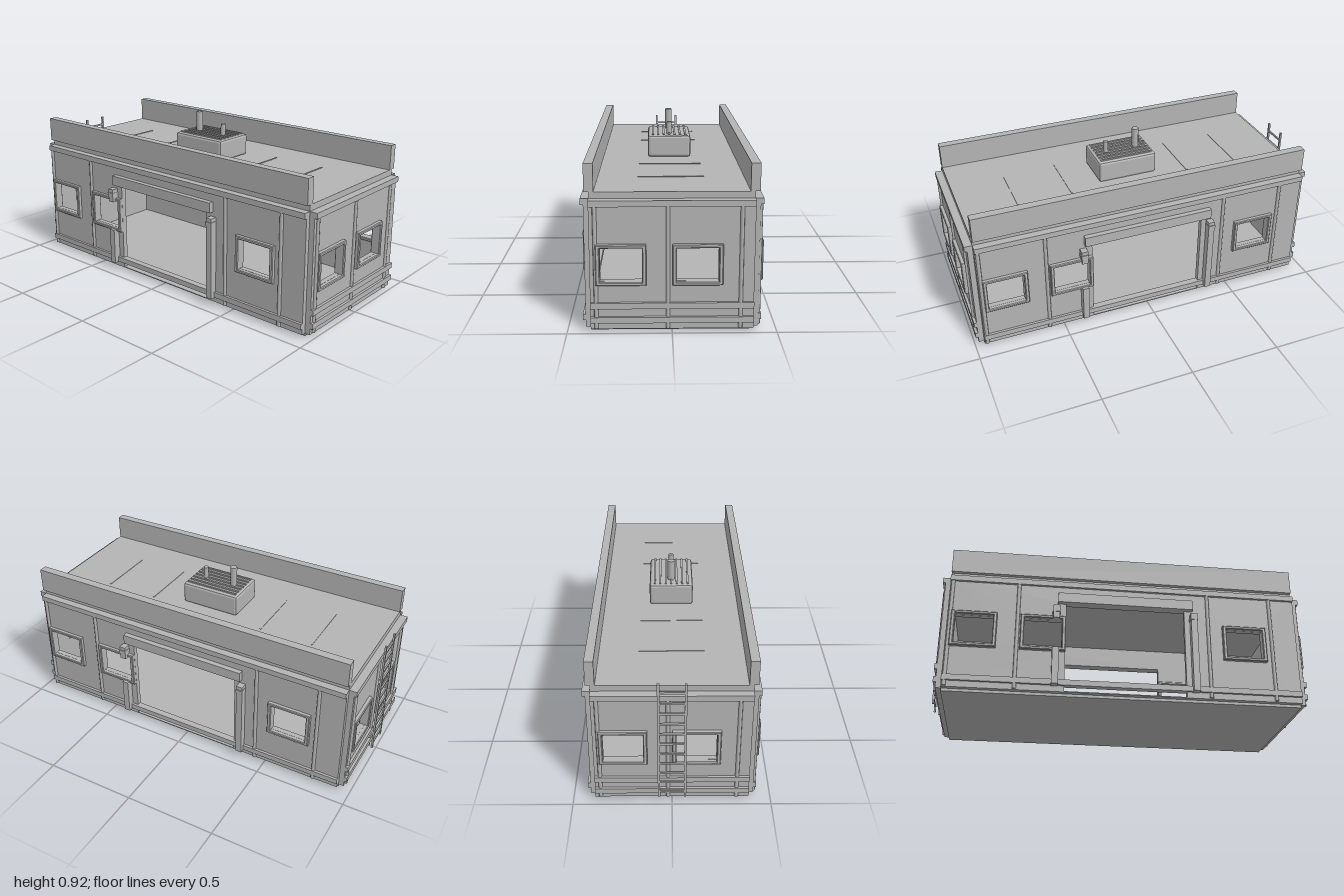
import * as THREE from 'three';
import { RoundedBoxGeometry } from 'three/addons/geometries/RoundedBoxGeometry.js';

export function createModel() {
  const model = new THREE.Group();
  const grey = new THREE.MeshStandardMaterial({ color: 0xb4b4b4 });
  grey.name = 'grey';

  function add(parent, name, geometry, x = 0, y = 0, z = 0) {
    const mesh = new THREE.Mesh(geometry, grey);
    mesh.name = name;
    mesh.position.set(x, y, z);
    parent.add(mesh);
    return mesh;
  }

  // Box given by its limits on each axis
  function box(parent, name, x0, x1, y0, y1, z0, z1) {
    return add(parent, name, new THREE.BoxGeometry(x1 - x0, y1 - y0, z1 - z0),
      (x0 + x1) / 2, (y0 + y1) / 2, (z0 + z1) / 2);
  }

  function rectangle(Type, x0, x1, y0, y1) {
    const r = new Type();
    r.moveTo(x0, y0);
    r.lineTo(x1, y0);
    r.lineTo(x1, y1);
    r.lineTo(x0, y1);
    r.closePath();
    return r;
  }

  // Wall panel with openings, window frames, round ribs and horizontal bands; outward is +z
  function wall(name, half, windows, ribs, bands, door) {
    const side = new THREE.Group();
    side.name = name;
    const panel = rectangle(THREE.Shape, -half, half, 0.015, 0.65);
    for (const u of windows) {
      panel.holes.push(rectangle(THREE.Path, u - 0.1, u + 0.1, 0.257, 0.421));
    }
    if (door) panel.holes.push(rectangle(THREE.Path, -0.32, 0.32, 0.02, 0.52));
    add(side, 'wallPanel', new THREE.ExtrudeGeometry(panel, { depth: 0.028, bevelEnabled: false }));

    for (const u of windows) {
      const frame = rectangle(THREE.Shape, -0.115, 0.115, -0.096, 0.096);
      frame.holes.push(rectangle(THREE.Path, -0.103, 0.103, -0.087, 0.087));
      add(side, 'windowFrame', new THREE.ExtrudeGeometry(frame, {
        depth: 0.045, bevelThickness: 0.004, bevelSize: 0.004, bevelSegments: 1,
      }), u, 0.339, 0);
    }
    for (const u of ribs) {
      add(side, 'wallRib', new THREE.CylinderGeometry(0.01, 0.01, 0.63, 8), u, 0.335, 0.03);
    }
    for (const [y0, y1] of bands) box(side, 'wallBand', -half, half, y0, y1, 0.005, 0.042);
    box(side, 'cornice', -half, half, 0.62, 0.65, 0.005, 0.042);
    model.add(side);
    return side;
  }

  // Lintel and posts of the wide doorway; the left post is broken by the window
  function addDoorway(side) {
    box(side, 'doorLintel', -0.365, 0.365, 0.52, 0.575, 0.02, 0.056);
    box(side, 'rightPost', 0.35, 0.385, 0.045, 0.495, 0.02, 0.066);
    box(side, 'leftPostLower', -0.39, -0.355, 0.045, 0.25, 0.02, 0.066);
    box(side, 'leftPostUpper', -0.39, -0.355, 0.42, 0.495, 0.02, 0.066);
    for (const u of [-0.3725, 0.3675]) {
      box(side, 'postCap', u - 0.02, u + 0.02, 0.455, 0.475, 0.02, 0.07);
    }
  }

  // Long walls and end walls, each pair turned half a turn about the middle
  for (const turn of [0, 1]) {
    const long = wall(turn ? 'backWall' : 'frontWall', 0.94, [-0.8, -0.44, 0.645],
      [-0.925, -0.575, 0.45, 0.8], [[0.048, 0.078]], true);
    addDoorway(long);
    long.position.set(0.01, 0, turn ? -0.385 : 0.385);
    long.rotation.y = turn * Math.PI;

    const end = wall(turn ? 'rightEndWall' : 'leftEndWall', 0.388, [-0.24, 0.12],
      [-0.36, -0.02, 0.325], [[0.048, 0.078], [0.12, 0.15]], false);
    end.position.set(turn ? -0.93 : 0.95, 0, 0);
    end.rotation.y = Math.PI / 2 + turn * Math.PI;
  }

  // Floor, roof and parapets
  box(model, 'floor', -0.93, 0.95, 0, 0.02, -0.387, 0.387);
  box(model, 'roof', -0.93, 0.95, 0.645, 0.682, -0.387, 0.387);
  for (const s of [-1, 1]) {
    const parapet = box(model, 'parapet', -0.93, 0.95, 0.682, 0.816, 0.364, 0.409);
    parapet.position.z *= s;
  }
  for (const x of [-0.63, -0.33, 0.35, 0.65]) {
    box(model, 'roofSeam', x - 0.004, x + 0.004, 0.68, 0.685, -0.165, 0.165);
  }

  // Rooftop unit with slats and two pipes
  const unit = new RoundedBoxGeometry(0.335, 0.12, 0.236, 1, 0.014).toNonIndexed();
  unit.computeVertexNormals();
  add(model, 'roofUnit', unit, 0.008, 0.742, 0);
  for (let i = -3; i <= 3; i++) {
    box(model, 'unitSlat', -0.142, 0.158, 0.798, 0.809, i * 0.03 - 0.005, i * 0.03 + 0.005);
  }
  add(model, 'tallPipe', new THREE.CylinderGeometry(0.019, 0.019, 0.125, 10), -0.08, 0.8525, 0);
  add(model, 'shortPipe', new THREE.CylinderGeometry(0.014, 0.014, 0.08, 10), 0.095, 0.828, 0);

  // Ladder on the end wall
  const ladder = new THREE.Group();
  ladder.name = 'ladder';
  for (const z of [-0.065, 0.065]) {
    box(ladder, 'ladderRail', -1, -0.99, 0.05, 0.735, z - 0.006, z + 0.006);
  }
  for (let i = 0; i < 11; i++) {
    const y = 0.08 + i * 0.06;
    box(ladder, 'ladderRung', -0.999, -0.991, y, y + 0.01, -0.065, 0.065);
  }
  model.add(ladder);

  return model;
}
